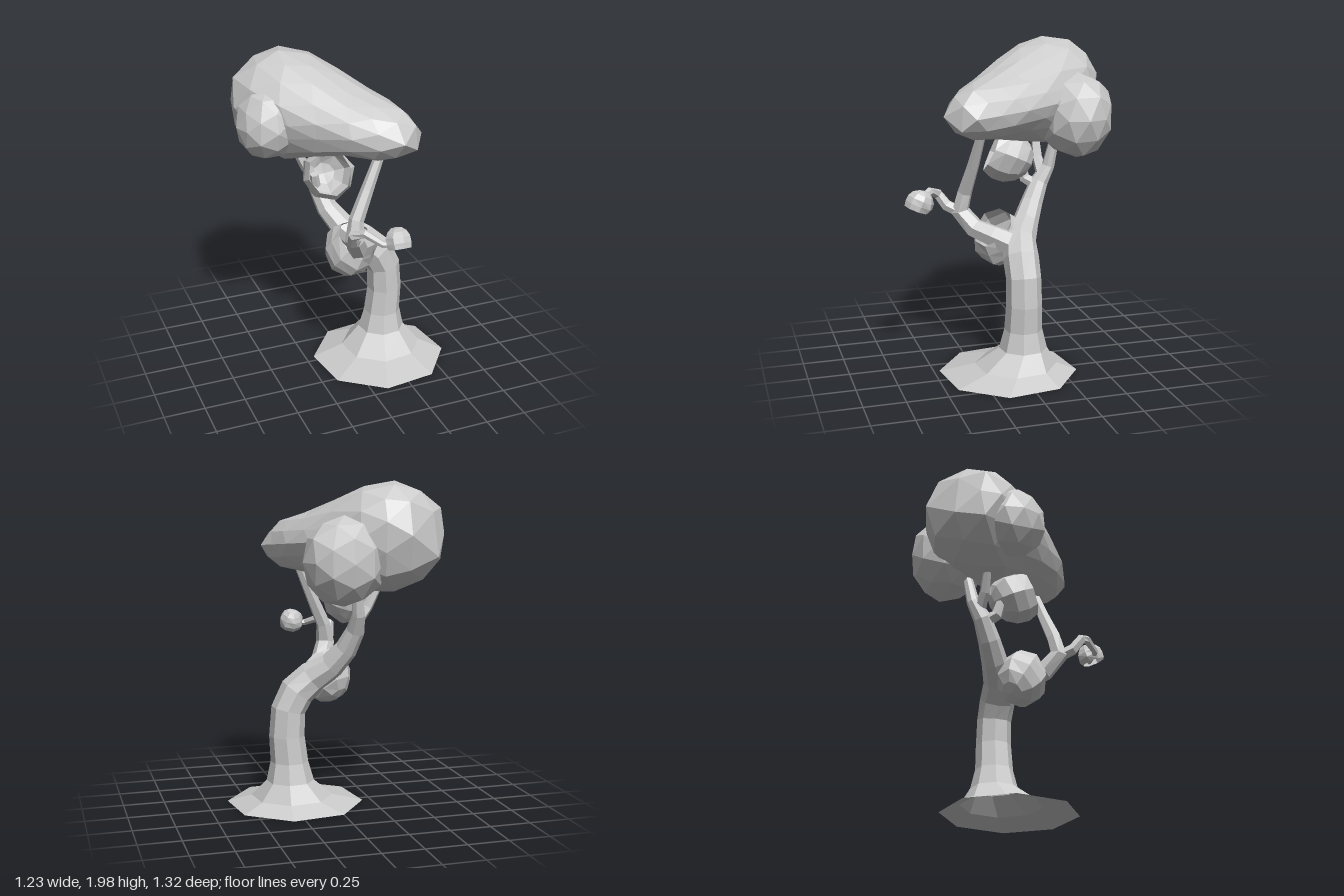
import * as THREE from 'three';
import { mergeVertices } from 'three/addons/utils/BufferGeometryUtils.js';

const material = new THREE.MeshStandardMaterial({ color: 0xcccccc, flatShading: true });
const openMaterial = new THREE.MeshStandardMaterial({ color: 0xcccccc, flatShading: true, side: THREE.DoubleSide });
const V = (x, y, z) => new THREE.Vector3(x, y, z);

function addMesh(group, name, geometry, mat) {
  geometry.computeVertexNormals();
  const mesh = new THREE.Mesh(geometry, mat);
  mesh.name = name;
  group.add(mesh);
}

// Tapered limb through [x, y, z, radius] points, open at its start and capped at its tip;
// the first `level` rings stay horizontal.
function limb(points, sides, level = 0, turn = 0) {
  const centers = points.map(p => V(p[0], p[1], p[2]));
  const pos = [], index = [];
  const last = points.length - 1;
  let e1 = V(1, 0, 0);
  centers.forEach((c, i) => {
    const n = centers[Math.min(i + 1, last)].clone().sub(centers[Math.max(i - 1, 0)]).normalize();
    if (i < level) n.set(0, 1, 0);
    e1 = e1.clone().addScaledVector(n, -e1.dot(n)).normalize();
    const e2 = n.clone().cross(e1);
    for (let j = 0; j < sides; j++) {
      const a = turn + j / sides * Math.PI * 2;
      const p = c.clone()
        .addScaledVector(e1, Math.cos(a) * points[i][3])
        .addScaledVector(e2, Math.sin(a) * points[i][3]);
      pos.push(p.x, p.y, p.z);
    }
  });
  const tip = pos.length / 3;
  pos.push(...centers[last].toArray());
  for (let j = 0; j < sides; j++) {
    const k = (j + 1) % sides;
    for (let i = 0; i < last; i++) {
      const a = i * sides + j, b = i * sides + k;
      index.push(a, b, b + sides, a, b + sides, a + sides);
    }
    index.push(tip, last * sides + j, last * sides + k);
  }
  const g = new THREE.BufferGeometry();
  g.setAttribute('position', new THREE.Float32BufferAttribute(pos, 3));
  g.setIndex(index);
  return g;
}

// Faceted, slightly uneven leaf mass; `shape` places each point of the unit form.
function foliage(form, seed, shape) {
  form.deleteAttribute('normal');
  form.deleteAttribute('uv');
  const g = mergeVertices(form, 1e-3);
  const p = g.attributes.position, v = V(0, 0, 0);
  let state = seed;
  for (let i = 0; i < p.count; i++) {
    state = (state * 16807) % 2147483647;
    v.fromBufferAttribute(p, i).multiplyScalar(0.98 + 0.08 * state / 2147483647);
    const q = shape(v);
    p.setXYZ(i, q.x, q.y, q.z);
  }
  return g;
}

const ball = detail => new THREE.IcosahedronGeometry(1, detail);

// Ball with its cap cut away on the side facing `direction`
const bowl = (direction, cut) => new THREE.SphereGeometry(1, 8, 5, 0, Math.PI * 2, cut, Math.PI - cut)
  .applyQuaternion(new THREE.Quaternion().setFromUnitVectors(V(0, 1, 0), direction.normalize()));

const ellipsoid = (x, y, z, rx, ry, rz) => v => V(x + v.x * rx, y + v.y * ry, z + v.z * rz);

export function createModel() {
  const tree = new THREE.Group();
  tree.name = 'tree';

  // Flared foot (hollow underneath), leaning trunk and its continuation to the back
  addMesh(tree, 'trunk', limb([
    [0.21, 0, 0.06, 0.42], [0.24, 0.055, 0.02, 0.25], [0.26, 0.16, -0.02, 0.145],
    [0.265, 0.28, -0.02, 0.115], [0.28, 0.44, -0.02, 0.108], [0.27, 0.6, -0.02, 0.105],
    [0.215, 0.71, -0.02, 0.108], [0.12, 0.8, -0.04, 0.1], [0.02, 0.88, -0.11, 0.08],
    [-0.05, 0.98, -0.17, 0.068], [-0.09, 1.1, -0.23, 0.056], [-0.09, 1.2, -0.29, 0.04],
    [-0.07, 1.36, -0.32, 0.03]], 8, 5, -0.26), openMaterial);

  // Branches
  const branches = {
    frontBranch: [[0.16, 0.77, -0.01, 0.08], [0.08, 0.82, 0.11, 0.068], [0.0, 0.86, 0.21, 0.062],
      [-0.05, 0.96, 0.285, 0.058], [-0.03, 1.08, 0.26, 0.046], [0.05, 1.25, 0.23, 0.038], [0.15, 1.47, 0.2, 0.028]],
    frontTwig: [[-0.04, 0.95, 0.28, 0.038], [-0.09, 0.99, 0.36, 0.036], [-0.11, 1.06, 0.41, 0.032],
      [-0.06, 1.09, 0.47, 0.026], [0.01, 1.05, 0.56, 0.02], [0.15, 1.04, 0.58, 0.015]],
    middleTwig: [[-0.07, 1.08, -0.22, 0.042], [-0.13, 1.12, -0.15, 0.036], [-0.15, 1.24, -0.12, 0.026]],
    sideTwig: [[-0.08, 1.14, -0.25, 0.04], [-0.16, 1.24, -0.24, 0.032], [-0.25, 1.42, -0.25, 0.022]],
  };
  for (const [name, points] of Object.entries(branches)) addMesh(tree, name, limb(points, 6), openMaterial);

  // Large crown, long from the back to the front, lower and blunt at the front
  const along = V(0.6, 0, 0.8), across = V(0.8, 0, -0.6);
  addMesh(tree, 'crown', foliage(ball(2), 11, v => {
    const u = v.dot(along), w = v.dot(across);
    const blunt = Math.pow(Math.max(Math.hypot(w, v.y), 0.05), -0.38);
    const height = THREE.MathUtils.clamp(0.265 - 0.2 * u, 0.195, 0.355);
    return V(0, 1.63 - 0.05 * u + v.y * blunt * height, 0)
      .addScaledVector(along, -0.13 + 0.585 * u)
      .addScaledVector(across, -0.005 + w * blunt * (0.305 - 0.08 * u));
  }), material);

  // Side masses of the crown
  addMesh(tree, 'backCrown', foliage(ball(1), 77, ellipsoid(0.04, 1.525, -0.425, 0.235, 0.255, 0.225)), material);
  addMesh(tree, 'sideCrown', foliage(ball(1), 203, ellipsoid(-0.42, 1.59, -0.16, 0.19, 0.21, 0.2)), material);

  // Small hollow leaf clumps
  addMesh(tree, 'middleClump',
    foliage(bowl(V(-0.2, 0.4, 0.9), 1.0), 31, ellipsoid(-0.1, 1.275, -0.02, 0.155, 0.155, 0.17)), openMaterial);
  addMesh(tree, 'lowerClump',
    foliage(bowl(V(0.35, 0.75, 0.55), 1.0), 59, ellipsoid(0.01, 0.795, 0.06, 0.155, 0.175, 0.155)), openMaterial);
  addMesh(tree, 'twigClump',
    foliage(bowl(V(0, -0.85, 0.4), 1.05), 91, ellipsoid(0.1, 1.06, 0.57, 0.076, 0.08, 0.085)), openMaterial);

  return tree;
}
